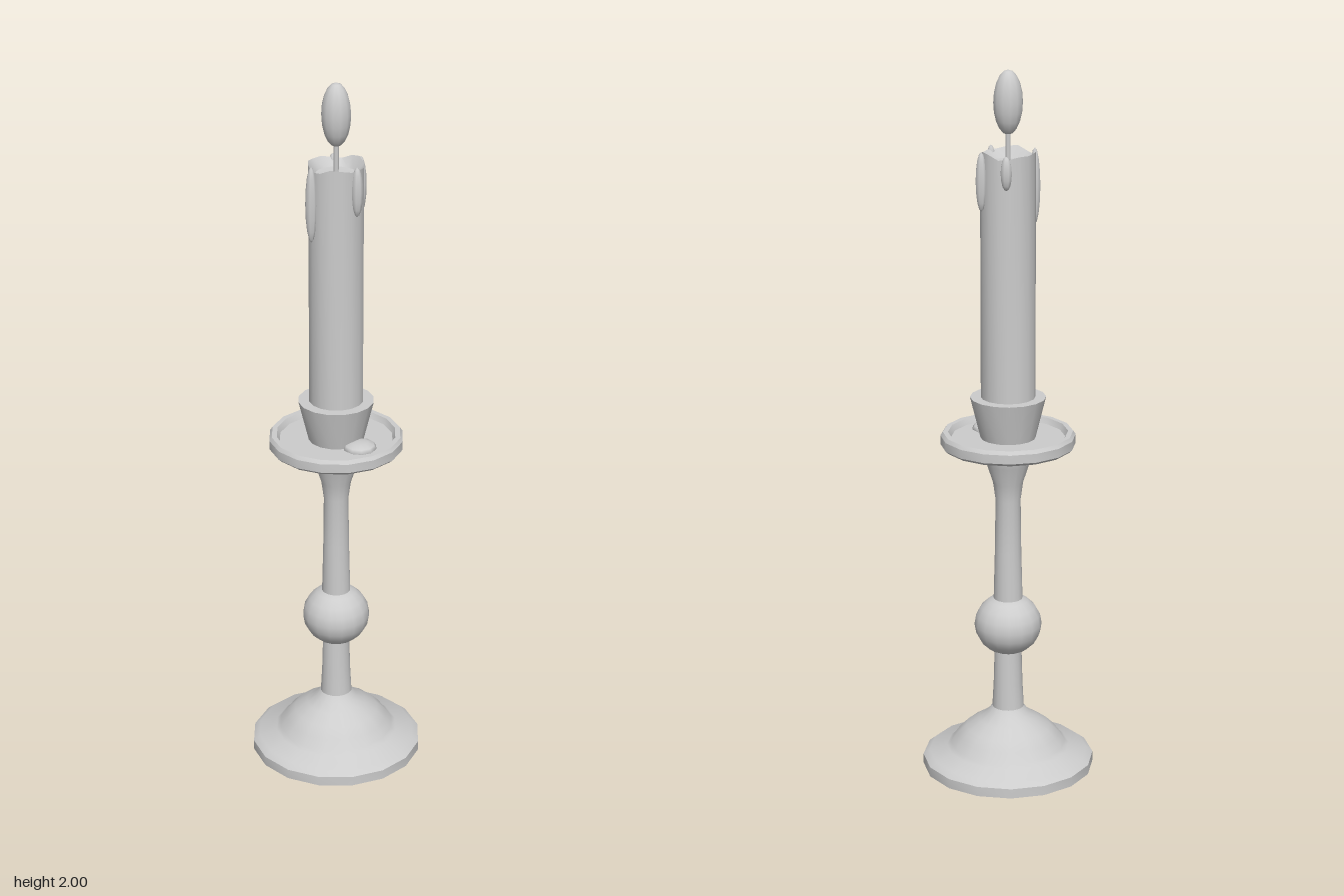
import * as THREE from 'three';
import { toCreasedNormals } from 'three/addons/utils/BufferGeometryUtils.js';

const grey = new THREE.MeshStandardMaterial({ color: 0xcccccc });
grey.name = 'plain grey';

export function createModel() {
  const group = new THREE.Group();
  group.name = 'candlestick';

  const add = (name, geometry, x = 0, y = 0, z = 0) => {
    const mesh = new THREE.Mesh(geometry, grey);
    mesh.name = name;
    mesh.position.set(x, y, z);
    group.add(mesh);
    return mesh;
  };
  // Turned part from [radius, height] pairs, bottom to top
  const turn = (points, sides = 16) =>
    new THREE.LatheGeometry(points.map(([r, y]) => new THREE.Vector2(r, y)), sides);
  const addTurned = (name, points) => add(name, toCreasedNormals(turn(points), 0.6));
  const addEllipsoid = (name, sides, rings, [x, y, z], [rx, ry, rz]) =>
    add(name, new THREE.SphereGeometry(1, sides, rings), x, y, z).scale.set(rx, ry, rz);

  // Holder
  addTurned('base', [[0, 0], [0.243, 0], [0.243, 0.028], [0.225, 0.042], [0.175, 0.057],
    [0.163, 0.067], [0.145, 0.092], [0.12, 0.117], [0.085, 0.14], [0.058, 0.16], [0.045, 0.178]]);
  addTurned('lowerStem', [[0.045, 0.175], [0.041, 0.25], [0.038, 0.36]]);
  addEllipsoid('knob', 16, 10, [0, 0.428, 0], [0.095, 0.088, 0.095]);
  addTurned('upperStem', [[0.041, 0.495], [0.037, 0.65], [0.035, 0.8], [0.042, 0.85],
    [0.06, 0.905], [0.068, 0.935], [0.07, 0.96]]);
  addTurned('dripDish', [[0, 0.955], [0.178, 0.955], [0.187, 0.963], [0.187, 0.988],
    [0.18, 0.998], [0.166, 0.998], [0.158, 0.982], [0, 0.982]]);
  addTurned('candleCup', [[0.076, 0.98], [0.105, 1.098], [0.07, 1.098]]);

  // Candle with an uneven melted rim and a sunken top
  const candle = turn([[0.075, 1.03], [0.075, 1.775], [0.055, 1.752], [0, 1.745]]);
  const p = candle.attributes.position;
  for (let i = 0; i < p.count; i++) {
    if (p.getY(i) < 1.77) continue;
    const a = Math.atan2(p.getX(i), p.getZ(i));
    p.setY(i, 1.777 + 0.006 * Math.sin(3 * a + 0.6) + 0.004 * Math.cos(5 * a));
  }
  add('candle', toCreasedNormals(candle, 0.6));
  add('wick', new THREE.CylinderGeometry(0.007, 0.007, 0.1, 8), 0, 1.79, 0);
  addEllipsoid('flame', 12, 10, [0, 1.913, 0], [0.04, 0.087, 0.04]);

  // Wax runs: x, z, bottom, top
  for (const [x, z, low, high] of [
    [-0.055, 0.058, 1.575, 1.785], [0.065, 0.042, 1.65, 1.787],
    [0.055, -0.057, 1.625, 1.785], [-0.023, -0.075, 1.69, 1.782],
  ]) addEllipsoid('waxDrip', 8, 8, [x, (low + high) / 2, z], [0.016, (high - low) / 2, 0.016]);
  addEllipsoid('waxPuddle', 10, 6, [0.077, 0.984, 0.051], [0.047, 0.018, 0.047]);

  return group;
}
